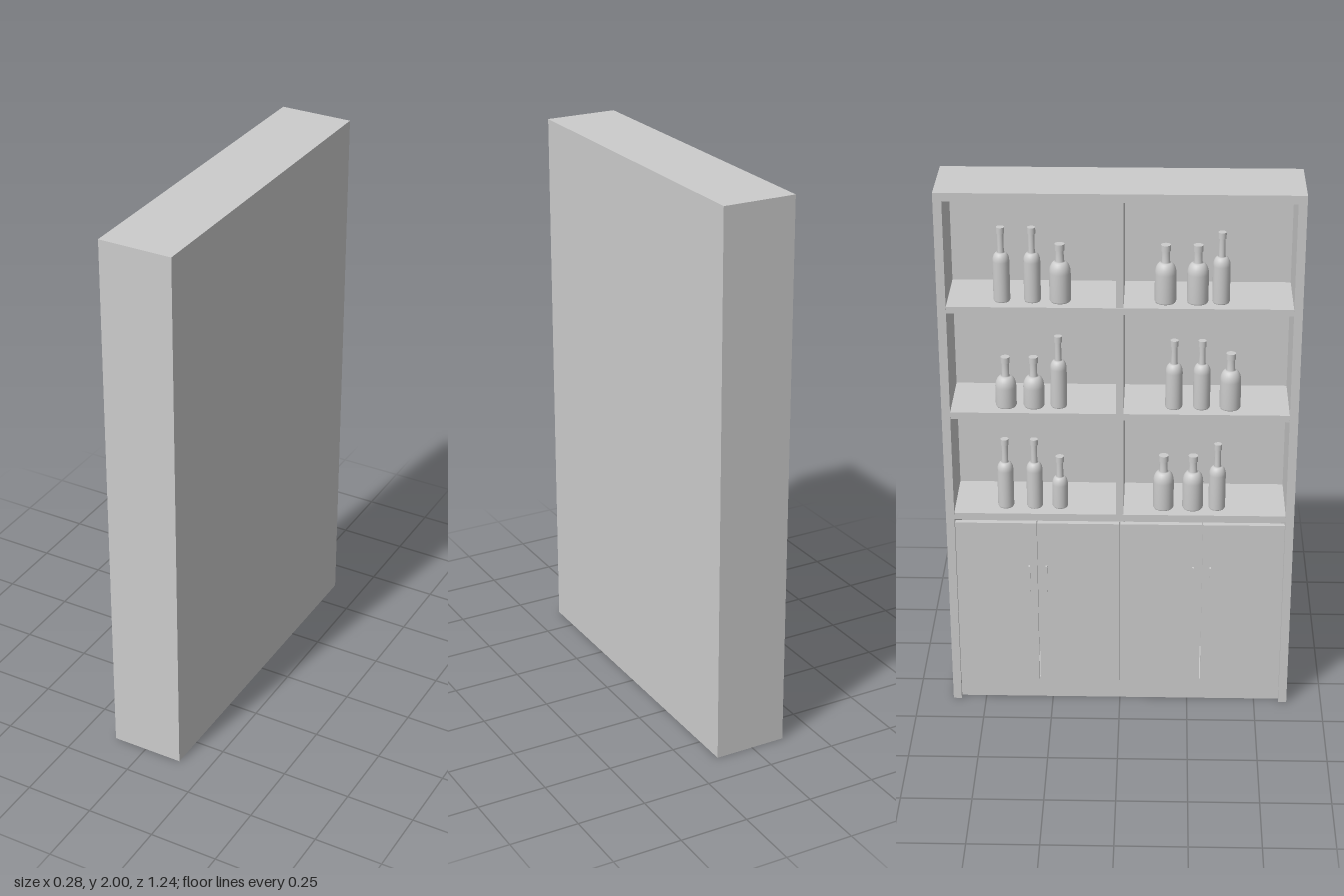
import * as THREE from 'three';

const material = new THREE.MeshStandardMaterial({ color: 0xcccccc });
const BACK = 0.14, FRONT = -0.126, HALF = 0.622, PANEL = 0.03;
const INNER = HALF - PANEL;

// Box given by its min and max along each axis
function box(name, [x0, x1], [y0, y1], [z0, z1]) {
  const mesh = new THREE.Mesh(new THREE.BoxGeometry(x1 - x0, y1 - y0, z1 - z0), material);
  mesh.name = name;
  mesh.position.set((x0 + x1) / 2, (y0 + y1) / 2, (z0 + z1) / 2);
  return mesh;
}

// Bottle with rounded shoulder, neck and lip; shoulder is the height where the body ends
function bottle(radius, height, shoulder, neck) {
  const points = [[0, 0], [radius * 0.92, 0], [radius, 0.005], [radius, shoulder]];
  const rise = radius * 1.1;
  for (let i = 1; i <= 6; i++) {
    const a = (i / 6) * Math.PI / 2;
    points.push([neck + (radius - neck) * Math.cos(a), shoulder + rise * Math.sin(a)]);
  }
  const lip = height - 0.022;
  points.push([neck, lip], [neck + 0.003, lip], [neck + 0.003, height], [0, height]);
  // Repeated points keep the hard edges crisp
  const profile = [];
  points.forEach(([r, y], i) => {
    profile.push(new THREE.Vector2(r, y));
    if (i === 1 || i >= points.length - 4 && i < points.length - 1) profile.push(new THREE.Vector2(r, y));
  });
  const mesh = new THREE.Mesh(new THREE.LatheGeometry(profile, 24), material);
  mesh.name = 'bottle';
  return mesh;
}

const bottleKinds = {
  tall: () => bottle(0.029, 0.267, 0.145, 0.011),
  slim: () => bottle(0.03, 0.255, 0.135, 0.011),
  wide: () => bottle(0.037, 0.208, 0.105, 0.014),
  round: () => bottle(0.037, 0.187, 0.075, 0.013),
  small: () => bottle(0.028, 0.2, 0.09, 0.012),
};

// Bracket handle: a vertical grip on two short posts
function handle(z) {
  const group = new THREE.Group();
  group.name = 'doorHandle';
  const t = 0.003;
  group.add(box('grip', [-0.14, -0.134], [0.47, 0.58], [z - t, z + t]));
  for (const y of [0.473, 0.577]) {
    group.add(box('post', [-0.135, -0.126], [y - t, y + t], [z - t, z + t]));
  }
  return group;
}

export function createModel() {
  const model = new THREE.Group();
  model.name = 'barCabinet';

  // Carcass
  for (const s of [-1, 1]) {
    const zs = s < 0 ? [-HALF, -INNER] : [INNER, HALF];
    model.add(box('sidePanel', [FRONT, BACK], [0, 2], zs));
  }
  model.add(box('topPanel', [FRONT, BACK], [1.97, 2], [-INNER, INNER]));
  model.add(box('backPanel', [0.12, BACK], [0, 1.97], [-INNER, INNER]));
  model.add(box('plinth', [-0.105, 0.12], [0, 0.085], [-INNER, INNER]));
  model.add(box('divider', [-0.122, 0.12], [0.79, 1.97], [-0.013, 0.013]));
  model.add(box('cupboardDivider', [-0.105, 0.12], [0.085, 0.765], [-0.013, 0.013]));

  // Shelves
  const shelfTops = [0.79, 1.19, 1.59];
  for (const top of shelfTops) {
    model.add(box('shelf', [-0.124, 0.12], [top - 0.025, top], [-INNER, INNER]));
  }

  // Four doors, with handles where each pair meets
  const doorWidth = INNER / 2, gap = 0.002;
  for (let i = 0; i < 4; i++) {
    const z = -INNER + i * doorWidth;
    model.add(box('door', [-0.128, -0.108], [0.085, 0.753], [z + gap, z + doorWidth - gap]));
  }
  for (const z of [-0.327, -0.265, 0.265, 0.327]) model.add(handle(z));

  // Bottles: per shelf, kinds and z positions
  const rows = [
    [['tall', -0.41], ['tall', -0.306], ['small', -0.215], ['wide', 0.155], ['wide', 0.26], ['slim', 0.347]],
    [['round', -0.4], ['round', -0.302], ['tall', -0.215], ['slim', 0.188], ['slim', 0.285], ['wide', 0.385]],
    [['tall', -0.405], ['tall', -0.3], ['wide', -0.205], ['wide', 0.155], ['wide', 0.265], ['slim', 0.345]],
  ];
  rows.forEach((row, i) => row.forEach(([kind, z]) => {
    const b = bottleKinds[kind]();
    b.position.set(-0.06, shelfTops[i], z);
    model.add(b);
  }));

  return model;
}
